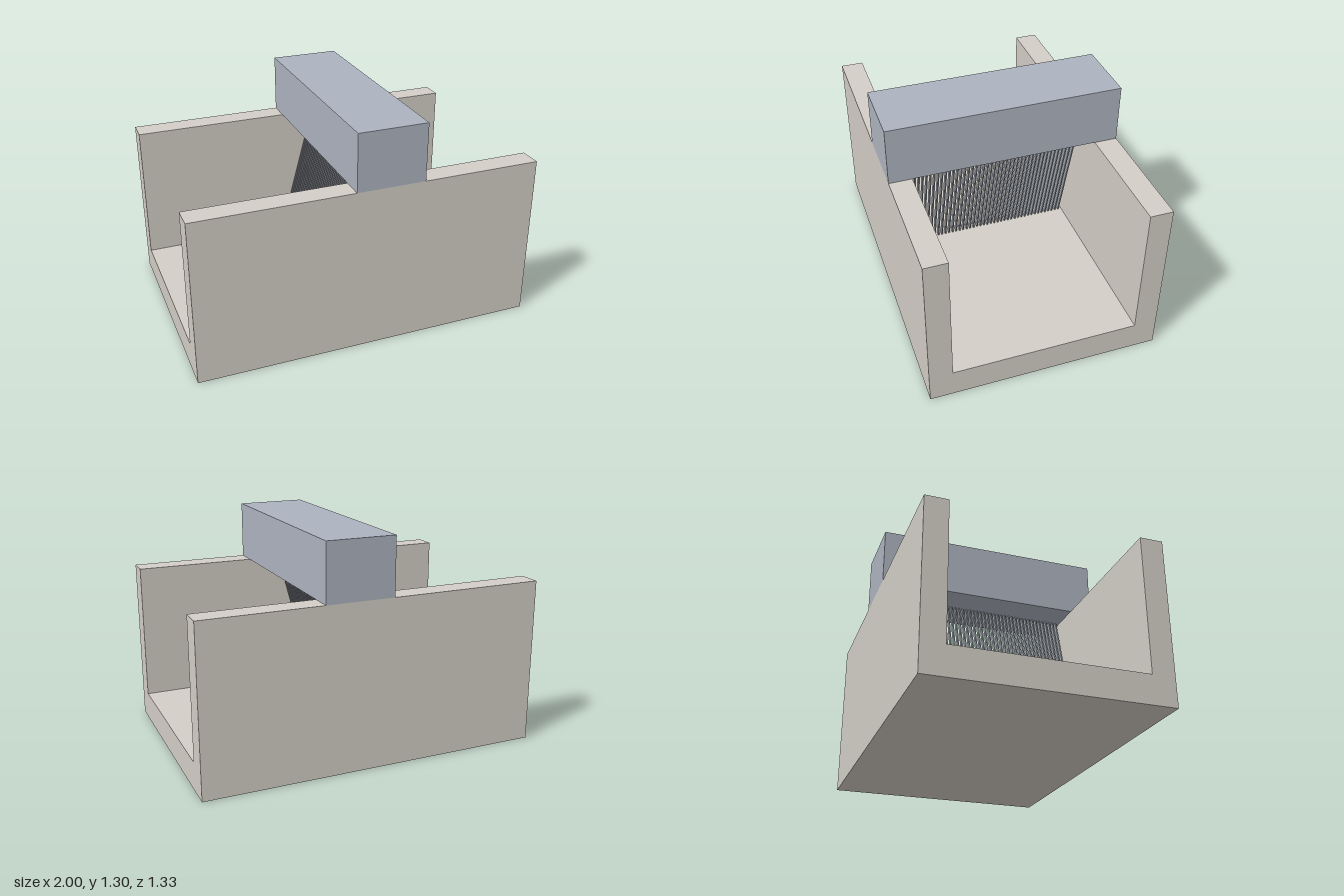
import * as THREE from 'three';

const concrete = new THREE.MeshStandardMaterial({ name: 'concrete', color: 0xd3cec6 });
const slateDeck = new THREE.MeshStandardMaterial({ name: 'slate deck', color: 0xadb3bf });
const steel = new THREE.MeshStandardMaterial({ name: 'steel', color: 0x9a9fa7 });

const LENGTH = 2, HALF_WIDTH = 0.6667, INNER = 0.5345, FLOOR = 0.1667, WALL_TOP = 0.9667;

// U-shaped trough, open at both x ends
function createChannel() {
  const profile = new THREE.Shape([
    [-HALF_WIDTH, 0], [HALF_WIDTH, 0], [HALF_WIDTH, WALL_TOP], [INNER, WALL_TOP],
    [INNER, FLOOR], [-INNER, FLOOR], [-INNER, WALL_TOP], [-HALF_WIDTH, WALL_TOP],
  ].map(([z, y]) => new THREE.Vector2(z, y)));
  const geometry = new THREE.ExtrudeGeometry(profile, { depth: LENGTH, bevelEnabled: false });
  geometry.translate(0, 0, -LENGTH / 2).rotateY(Math.PI / 2);
  const channel = new THREE.Mesh(geometry, concrete);
  channel.name = 'channel';
  return channel;
}

// Deck beam spanning both walls, centred over the top of the screen
function createDeck() {
  const height = 0.335;
  const deck = new THREE.Mesh(new THREE.BoxGeometry(0.4, height, HALF_WIDTH * 2), slateDeck);
  deck.position.set(0.107, WALL_TOP + height / 2, 0);
  deck.name = 'deck';
  return deck;
}

// Row of thin bars leaning 15 degrees under the deck
function createScreen() {
  const screen = new THREE.Group();
  screen.name = 'barScreen';
  const count = 45, pitch = 0.02333, tilt = THREE.MathUtils.degToRad(15);
  const geometry = new THREE.BoxGeometry(0.0267, (WALL_TOP - FLOOR) / Math.cos(tilt), 0.008);
  for (let i = 0; i < count; i++) {
    const bar = new THREE.Mesh(geometry, steel);
    bar.position.z = (i - (count - 1) / 2) * pitch;
    bar.name = 'screenBar';
    screen.add(bar);
  }
  screen.position.y = (WALL_TOP + FLOOR) / 2;
  screen.rotation.z = -tilt;
  return screen;
}

export function createModel() {
  const model = new THREE.Group();
  model.name = 'screenedChannel';
  model.add(createChannel(), createDeck(), createScreen());
  return model;
}
